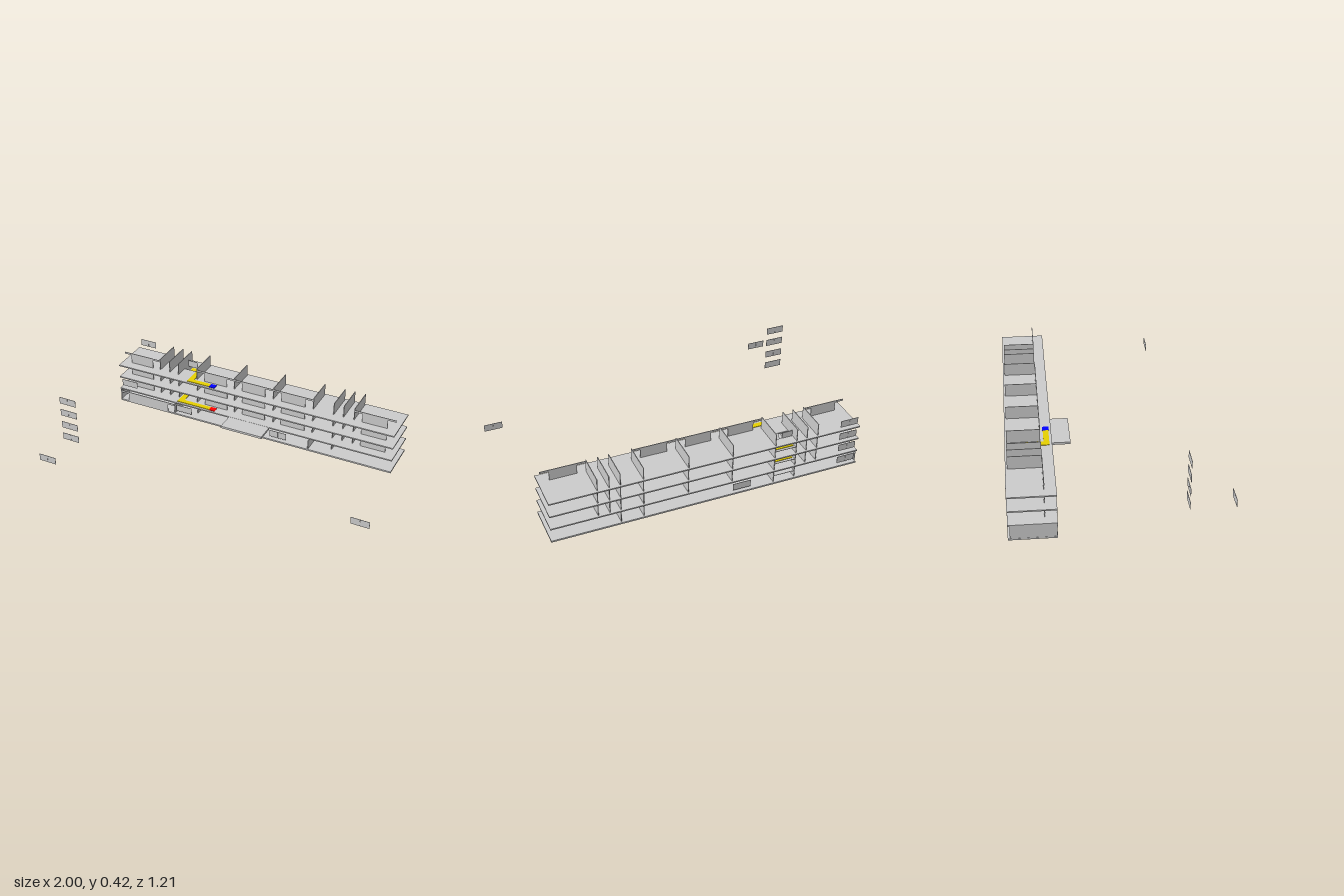
import * as THREE from 'three';

const material = (color) => new THREE.MeshStandardMaterial({ color, side: THREE.DoubleSide });
const grey = material(0xcccccc);
const yellow = material(0xe6d000);
const blue = material(0x0000ff);
const red = material(0xff0000);

const LEVELS = [0.01, 0.095, 0.182, 0.268]; // top of each floor slab
const SLAB = 0.008;
const BACK = -0.595, ROOM = -0.408, FRONT = -0.345;
const STAIR_FRONT = -0.49, STAIR_BACK = -0.54;

export function createModel() {
  const model = new THREE.Group();

  // Box given by its limits along each axis
  const block = (name, x0, x1, y0, y1, z0, z1, mat = grey, parent = model) => {
    const mesh = new THREE.Mesh(new THREE.BoxGeometry(x1 - x0, y1 - y0, z1 - z0), mat);
    mesh.position.set((x0 + x1) / 2, (y0 + y1) / 2, (z0 + z1) / 2);
    mesh.name = name;
    parent.add(mesh);
    return mesh;
  };

  // Sloping plate between a front edge and a back edge
  const ramp = (name, x0, x1, yFront, yBack, mat, lift = 0) => {
    const run = STAIR_FRONT - STAIR_BACK, rise = yBack - yFront;
    const mesh = new THREE.Mesh(new THREE.BoxGeometry(x1 - x0, 0.003, Math.hypot(run, rise)), mat);
    mesh.position.set((x0 + x1) / 2, (yFront + yBack) / 2 + lift, (STAIR_FRONT + STAIR_BACK) / 2);
    mesh.rotation.x = Math.atan2(rise, run);
    mesh.name = name;
    model.add(mesh);
  };

  // Floor slabs, the upper ones with a stairwell opening
  LEVELS.forEach((top, i) => {
    const shape = new THREE.Shape([
      [-1, 0.343], [0.885, 0.343], [0.885, 0.606], [-1, 0.606],
    ].map(([x, y]) => new THREE.Vector2(x, y)));
    if (i > 0) {
      shape.holes.push(new THREE.Path([
        [-0.59, -STAIR_FRONT], [-0.59, -STAIR_BACK], [-0.466, -STAIR_BACK], [-0.466, -STAIR_FRONT],
      ].map(([x, y]) => new THREE.Vector2(x, y))));
    }
    const depth = i ? SLAB : top;
    const geometry = new THREE.ExtrudeGeometry(shape, { depth, bevelEnabled: false });
    geometry.rotateX(-Math.PI / 2);
    const slab = new THREE.Mesh(geometry, grey);
    slab.name = 'floorSlab';
    slab.position.y = top - depth;
    model.add(slab);
  });

  // Entrance canopy
  block('canopy', -0.2, 0.08, 0.08, 0.094, -0.345, -0.225);

  // Front wall with a doorway on each side of a centre panel
  const doorWall = (x0, x1, p0, p1, y, z, height) => {
    const wall = new THREE.Group();
    wall.name = 'doorWall';
    block('wallPanel', p0, p1, y, y + height - 0.012, z - 0.002, z + 0.002, grey, wall);
    block('lintel', x0, x1, y + height - 0.012, y + height, z - 0.002, z + 0.002, grey, wall);
    model.add(wall);
  };

  // Upper floors: partitions and room fronts
  const partitions = [-0.728, -0.659, -0.594, -0.46, -0.194, 0.075, 0.342, 0.476, 0.54, 0.608];
  const rooms = [[-0.99, -0.728], [-0.46, -0.194], [-0.194, 0.075], [0.075, 0.342], [0.608, 0.872]];
  const panels = [-0.86, -0.325, -0.06, 0.21, 0.74];
  for (const y of LEVELS.slice(1)) {
    for (const x of partitions) block('partition', x - 0.002, x + 0.002, y, y + 0.077, BACK, ROOM);
    rooms.forEach(([x0, x1], i) =>
      doorWall(x0, x1, panels[i] - 0.08, panels[i] + 0.08, y, ROOM, 0.068));
  }

  // Ground floor: end wall, partitions and the large room front
  for (const [x, z] of [[-0.997, FRONT], [-0.594, FRONT], [-0.46, ROOM], [0.342, ROOM], [0.476, ROOM]])
    block('groundPartition', x - 0.002, x + 0.002, 0.01, 0.087, BACK, z);
  block('groundPartition', 0.34, 0.344, 0.01, 0.07, ROOM, FRONT);
  doorWall(-0.997, -0.594, -0.94, -0.645, 0.01, FRONT, 0.065);

  // Stairs: up to a half landing at the back, then forward to the next floor
  for (let i = 0; i < 3; i++) {
    const y = LEVELS[i], next = LEVELS[i + 1], mid = (y + next) / 2;
    ramp('lowerFlight', -0.59, -0.53, y, mid, grey);
    ramp('upperFlight', -0.525, -0.464, next, mid, grey);
    block('halfLanding', -0.59, -0.464, mid - 0.003, mid, BACK, STAIR_BACK);
    if (i === 0) continue;
    ramp('lowerRoute', -0.582, -0.545, y, mid, yellow, 0.003);
    ramp('upperRoute', -0.507, -0.47, next, mid, yellow, 0.003);
    block('landingRoute', -0.582, -0.47, mid, mid + 0.003, -0.58, STAIR_BACK, yellow);
  }
  block('stairGuard', -0.59, -0.525, 0.268, 0.305, -0.542, -0.538);

  // Coloured routes along the corridors, ending in a marker
  const strip = (x0, x1, z0, z1, y, mat = yellow, name = 'routeStrip') =>
    block(name, x0, x1, y, y + 0.003, z0, z1, mat);
  const [, second, third, fourth] = LEVELS;
  strip(-0.507, -0.35, -0.39, -0.358, fourth);
  strip(-0.507, -0.47, STAIR_FRONT, -0.39, fourth);
  strip(-0.35, -0.31, -0.392, -0.355, fourth, blue, 'endMarker');
  strip(-0.582, -0.35, -0.39, -0.358, second);
  strip(-0.582, -0.545, STAIR_FRONT, -0.39, second);
  strip(-0.35, -0.31, -0.392, -0.355, second, red, 'startMarker');
  strip(-0.582, -0.47, STAIR_FRONT, -0.455, third);

  // Thin plaques on the building and standing free around it
  const plaques = [
    [-0.925, 0.143, 0.355], [-0.925, 0.226, 0.355], [-0.925, 0.313, 0.355], [-0.925, 0.398, 0.355],
    [-0.925, 0.143, 0.604], [0.943, 0.143, 0.355],
    [-0.925, 0.055, -0.604], [-0.925, 0.143, -0.604], [-0.925, 0.226, -0.604], [-0.925, 0.313, -0.604],
    [-0.925, 0.143, -0.344], [-0.525, 0.055, -0.344], [0.14, 0.055, -0.344], [-0.255, 0.05, -0.6],
  ];
  for (const [x, y, z] of plaques) {
    const plaque = new THREE.Group();
    plaque.name = 'plaque';
    for (const s of [-1, 1])
      block('plaqueHalf', x + s * 0.028 - 0.0275, x + s * 0.028 + 0.0275, y - 0.022, y + 0.022,
        z - 0.001, z + 0.001, grey, plaque);
    model.add(plaque);
  }

  return model;
}
